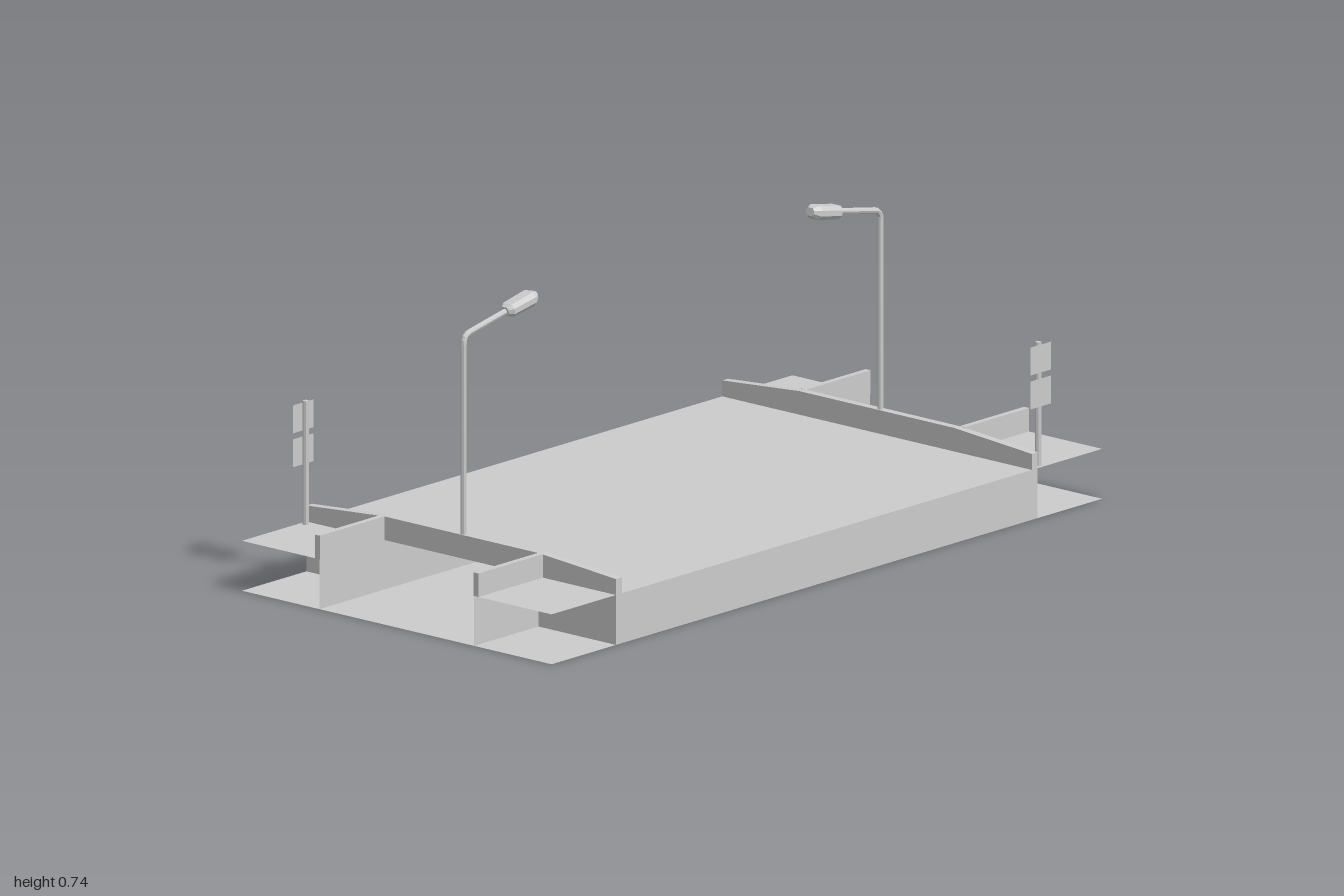
import * as THREE from 'three';

const solid = new THREE.MeshStandardMaterial({ color: 0xcccccc, flatShading: true });
const sheet = new THREE.MeshStandardMaterial({ color: 0xcccccc, flatShading: true, side: THREE.DoubleSide });

function add(parent, name, geometry, material = solid) {
  const mesh = new THREE.Mesh(geometry, material);
  mesh.name = name;
  parent.add(mesh);
  return mesh;
}

// box given by its limits
function box(x0, x1, y0, y1, z0, z1) {
  return new THREE.BoxGeometry(x1 - x0, y1 - y0, z1 - z0)
    .translate((x0 + x1) / 2, (y0 + y1) / 2, (z0 + z1) / 2);
}

// horizontal rectangle facing up
function floor(x0, x1, z0, z1, y) {
  return new THREE.PlaneGeometry(x1 - x0, z1 - z0)
    .rotateX(-Math.PI / 2).translate((x0 + x1) / 2, y, (z0 + z1) / 2);
}

// octagonal sections [x, half width, bottom, top], joined and closed at both ends
function loft(sections) {
  const pos = [], idx = [];
  for (const [x, w, b, t] of sections) {
    const m = (b + t) / 2, h = (t - b) / 2;
    for (const [u, v] of [[1, 0.4], [0.6, 1], [-0.6, 1], [-1, 0.4], [-1, -0.4], [-0.6, -1], [0.6, -1], [1, -0.4]]) {
      pos.push(x, m + v * h, u * w);
    }
  }
  const last = (sections.length - 1) * 8;
  for (let s = 0; s < last; s += 8) {
    for (let i = 0; i < 8; i++) {
      const j = (i + 1) % 8;
      idx.push(s + i, s + 8 + i, s + j, s + j, s + 8 + i, s + 8 + j);
    }
  }
  for (let i = 1; i < 7; i++) idx.push(0, i, i + 1, last, last + i + 1, last + i);
  const g = new THREE.BufferGeometry();
  g.setAttribute('position', new THREE.Float32BufferAttribute(pos, 3));
  g.setIndex(idx);
  g.computeVertexNormals();
  return g;
}

function streetLamp() {
  const lamp = new THREE.Group();
  lamp.name = 'streetLamp';
  // post, bend and arm in one swept tube
  const path = new THREE.CurvePath();
  const v = (x, y) => new THREE.Vector3(x, y, 0);
  path.add(new THREE.LineCurve3(v(0.757, 0.15), v(0.757, 0.66)));
  path.add(new THREE.QuadraticBezierCurve3(v(0.757, 0.66), v(0.757, 0.68), v(0.737, 0.685)));
  path.add(new THREE.LineCurve3(v(0.737, 0.685), v(0.595, 0.712)));
  add(lamp, 'lampPost', new THREE.TubeGeometry(path, 72, 0.0075, 8), sheet);
  // tapered head, tilted upwards
  const head = add(lamp, 'lampHead', loft([
    [0, 0.012, -0.011, 0.011],
    [0.012, 0.022, -0.017, 0.016],
    [0.09, 0.024, -0.017, 0.018],
    [0.108, 0.013, -0.008, 0.012],
  ]));
  head.position.set(0.607, 0.71, 0);
  head.rotation.set(0, Math.PI, 0.17, 'YXZ');
  return lamp;
}

function signPost() {
  const sign = new THREE.Group();
  sign.name = 'signPost';
  add(sign, 'signPole', new THREE.CylinderGeometry(0.0075, 0.0075, 0.31, 8).translate(0.786, 0.28, 0.484));
  for (const y of [0.394, 0.309]) {
    add(sign, 'signBoard', new THREE.PlaneGeometry(0.074, 0.07).translate(0.786, y, 0.492), sheet);
  }
  return sign;
}

// parapet with a top that slopes down towards both ends
function parapet() {
  const s = new THREE.Shape();
  s.moveTo(-0.5, 0.125);
  s.lineTo(0.5, 0.125);
  s.lineTo(0.5, 0.165);
  s.lineTo(0.25, 0.184);
  s.lineTo(-0.25, 0.184);
  s.lineTo(-0.5, 0.165);
  s.closePath();
  return new THREE.ExtrudeGeometry(s, { depth: 0.021, bevelEnabled: false })
    .rotateY(Math.PI / 2).translate(0.745, 0, 0);
}

// everything on the +x end of the bridge
function bridgeEnd() {
  const end = new THREE.Group();
  end.name = 'bridgeEnd';
  add(end, 'parapet', parapet());
  for (const side of [1, -1]) {
    const z0 = side > 0 ? 0.25 : -0.5, z1 = z0 + 0.25;
    add(end, 'bank', floor(0.766, 1, z0, z1, 0.125), sheet);
    // side wall of the road embankment
    add(end, 'embankmentWall', new THREE.PlaneGeometry(0.25, 0.125)
      .rotateY(Math.PI / 2).translate(0.766, 0.0625, side * 0.375), sheet);
    // coping along the canal edge
    const a = side * 0.248, b = side * 0.264;
    add(end, 'canalCoping', box(0.766, 1, 0.125, 0.184, Math.min(a, b), Math.max(a, b)));
  }
  end.add(streetLamp(), signPost());
  return end;
}

export function createModel() {
  const model = new THREE.Group();
  model.name = 'canalBridge';
  add(model, 'canalFloor', floor(-1, 1, -0.5, 0.5, 0), sheet);
  add(model, 'roadDeck', floor(-0.766, 0.766, -0.5, 0.5, 0.125), sheet);
  for (const side of [1, -1]) {
    add(model, 'roadEndWall', new THREE.PlaneGeometry(1.532, 0.125)
      .translate(0, 0.0625, side * 0.5), sheet);
    add(model, 'canalWall', new THREE.PlaneGeometry(2, 0.136)
      .translate(0, 0.068, side * 0.25).scale(1, 0.125 / 0.136, 1), sheet);
  }
  // the two ends match by a half turn
  const left = bridgeEnd(), right = bridgeEnd();
  right.rotation.y = Math.PI;
  model.add(left, right);
  return model;
}
